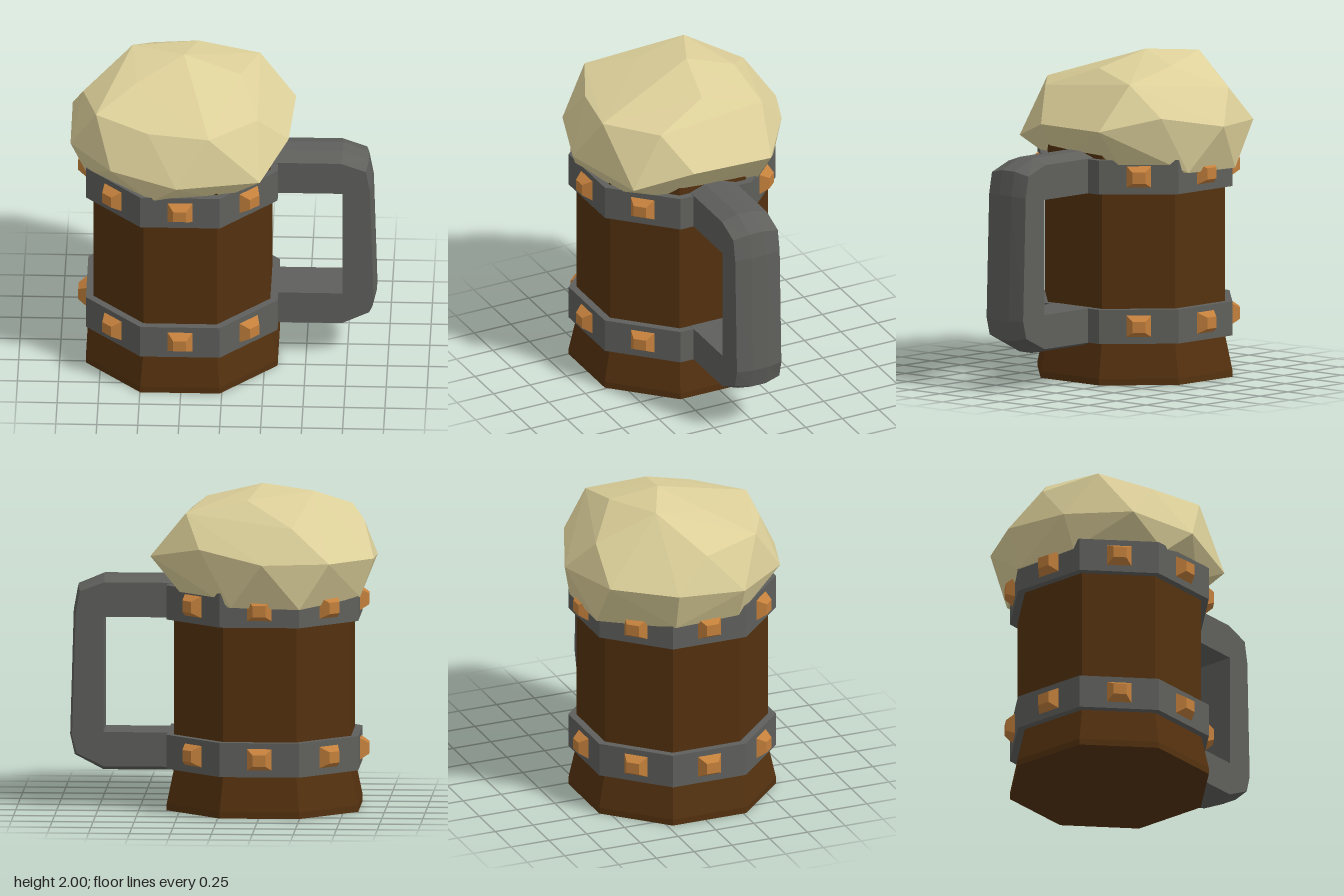
import * as THREE from 'three';
import { ConvexGeometry } from 'three/addons/geometries/ConvexGeometry.js';

const material = (name, color) => {
  const m = new THREE.MeshStandardMaterial({ color, flatShading: true });
  m.name = name;
  return m;
};

// Eight-sided turned part with flat sides facing the axes; radii are apothems
function octagon(profile) {
  const points = profile.map(([r, y]) => new THREE.Vector2(r / Math.cos(Math.PI / 8), y));
  return new THREE.LatheGeometry(points, 8, Math.PI / 8);
}

// Rectangular stud that tapers towards its outer face
function studGeometry() {
  const geo = new THREE.BoxGeometry(0.16, 0.14, 0.06);
  const p = geo.attributes.position;
  for (let i = 0; i < p.count; i++) {
    if (p.getZ(i) > 0) p.setXY(i, p.getX(i) * 0.5, p.getY(i) * 0.5);
  }
  return geo;
}

// Handle swept through stations of inner, edge and crown points
function handleGeometry() {
  const stations = [
    [0.2, 1.175, 0.2, 1.388, 0.2, 1.422],
    [0.722, 1.175, 0.715, 1.388, 0.722, 1.422],
    [0.722, 1.175, 0.865, 1.333, 0.881, 1.356],
    [0.722, 1.175, 0.89, 1.2, 0.908, 1.206],
    [0.722, 0.466, 0.913, 0.443, 0.93, 0.439],
    [0.722, 0.466, 0.885, 0.335, 0.902, 0.315],
    [0.722, 0.466, 0.72, 0.255, 0.727, 0.223],
    [0.2, 0.466, 0.2, 0.255, 0.2, 0.223],
  ];
  const w = 0.152, c = 0.05, z = 0.025;
  const verts = [], index = [];
  stations.forEach(([xi, yi, xe, ye, xc, yc], s) => {
    verts.push(xi, yi, z - w, xi, yi, z + w, xe, ye, z + w);
    verts.push(xc, yc, z + c, xc, yc, z - c, xe, ye, z - w);
    if (s === 0) return;
    for (let k = 0; k < 6; k++) {
      const a = (s - 1) * 6 + k, b = (s - 1) * 6 + (k + 1) % 6;
      index.push(a, b + 6, b, a, a + 6, b + 6);
    }
  });
  const geo = new THREE.BufferGeometry();
  geo.setAttribute('position', new THREE.Float32BufferAttribute(verts, 3));
  geo.setIndex(index);
  geo.computeVertexNormals();
  return geo;
}

// Faceted head of foam
function foamGeometry() {
  const points = [
    // crown
    [-0.25, 2, -0.07], [-0.57, 1.975, -0.215], [0.095, 1.91, 0], [-0.535, 1.915, 0.135],
    [-0.17, 1.93, -0.355], [0.205, 1.85, -0.355],
    // shoulder
    [-0.865, 1.77, 0], [-0.775, 1.82, 0.36], [-0.455, 1.785, 0.52], [-0.08, 1.79, 0.59],
    [0.21, 1.785, 0.34], [-0.455, 1.785, -0.565],
    // widest ring
    [-0.275, 1.577, -0.695], [0.115, 1.65, -0.535], [0.425, 1.577, -0.305], [0.395, 1.575, 0.205],
    [0.23, 1.46, 0.535], [-0.275, 1.497, 0.695], [-0.68, 1.54, 0.56], [-0.935, 1.53, 0.22],
    [-0.935, 1.56, -0.215], [-0.68, 1.57, -0.565],
    // underside
    [-0.43, 1.35, 0.6], [-0.02, 1.33, 0.52], [0.2, 1.32, 0.25], [0.2, 1.3, -0.3],
    [-0.08, 1.3, -0.58], [-0.5, 1.29, -0.58], [-0.85, 1.32, -0.2], [-0.84, 1.33, 0.22],
  ];
  return new ConvexGeometry(points.map((p) => new THREE.Vector3(...p)));
}

export function createModel() {
  const wood = material('dark wood', 0x54310f);
  const iron = material('grey iron', 0x5f605c);
  const copper = material('copper', 0xc4803c);
  const froth = material('cream foam', 0xddd09a);

  const model = new THREE.Group();
  model.name = 'tankard';
  const add = (parent, name, geo, mat) => {
    const mesh = new THREE.Mesh(geo, mat);
    mesh.name = name;
    parent.add(mesh);
    return mesh;
  };

  // Mug, off centre to leave room for the handle
  const mug = new THREE.Group();
  mug.name = 'mug';
  mug.position.set(-0.255, 0, 0.025);
  model.add(mug);
  add(mug, 'body', octagon([[0, 0], [0.585, 0], [0.585, 0.04], [0.54, 0.26], [0.54, 1.435], [0, 1.435]]), wood);

  // Bands, with studs on every side but the handle's
  const stud = studGeometry();
  for (const [label, y] of [['lower', 0.36], ['upper', 1.28]]) {
    const lo = y - 0.105, hi = y + 0.105;
    add(mug, label + 'Band', octagon([[0.5, lo], [0.585, lo], [0.585, hi], [0.5, hi]]), iron);
    for (let i = 0; i < 8; i++) {
      if (i === 2) continue;
      const a = i * Math.PI / 4;
      const s = add(mug, label + 'Stud', stud, copper);
      s.position.set(Math.sin(a) * 0.608, y + 0.003, Math.cos(a) * 0.608);
      s.rotation.y = a;
    }
  }

  add(model, 'handle', handleGeometry(), iron);
  add(model, 'foam', foamGeometry(), froth);
  return model;
}
